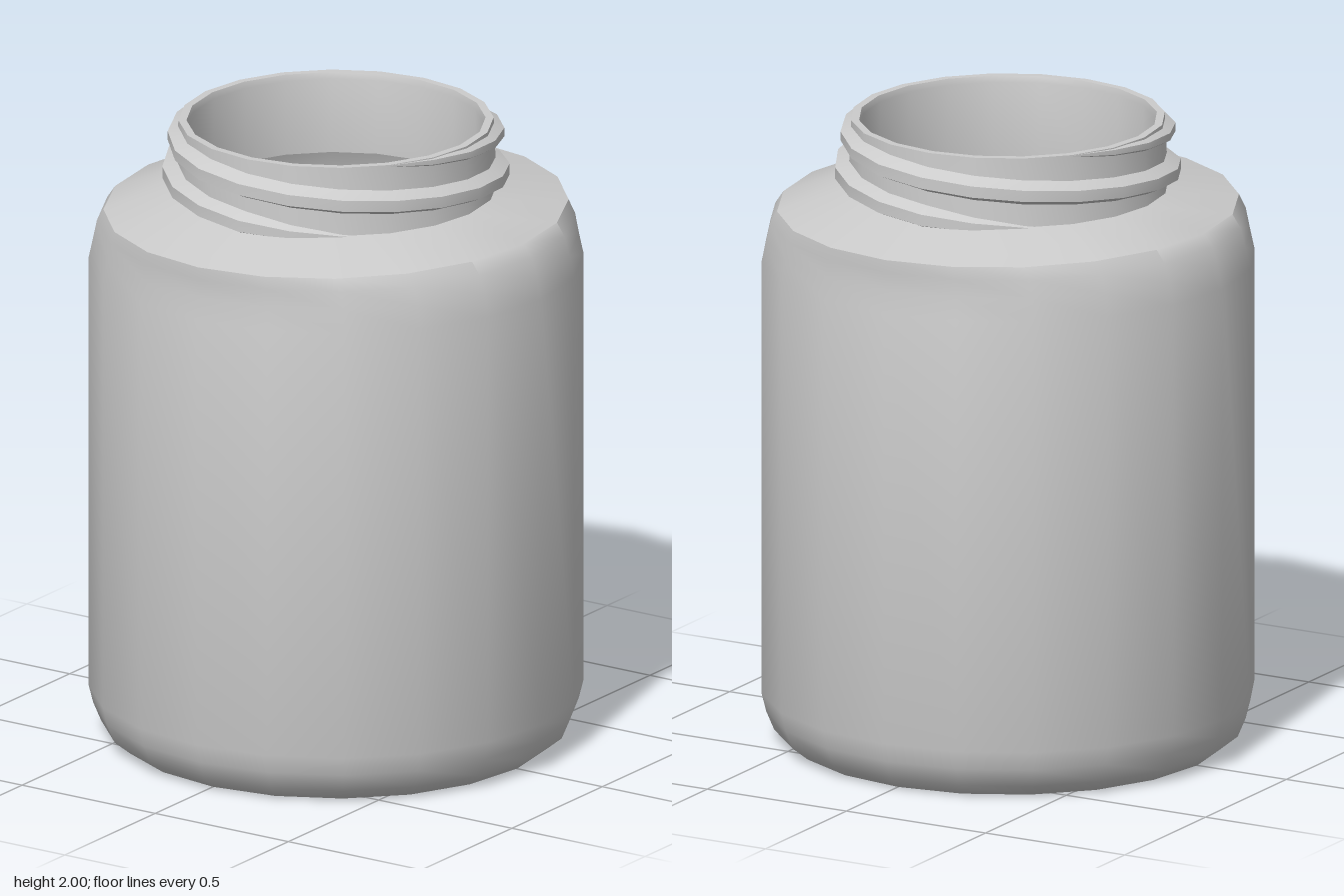
import * as THREE from 'three';
import { mergeVertices, toCreasedNormals } from 'three/addons/utils/BufferGeometryUtils.js';

const SIDES = 20;
const material = new THREE.MeshStandardMaterial({ color: 0xcccccc, side: THREE.DoubleSide });

// Jar wall: one turned profile, up the outside and down the inside
function jarGeometry() {
  const profile = [
    [0, 0.02], [0.25, 0.015], [0.62, 0], [0.68, 0], [0.73, 0.04], [0.755, 0.1], [0.77, 0.16],
    [0.77, 1.55], [0.755, 1.62], [0.735, 1.68], [0.705, 1.72],
    [0.5, 1.78], [0.49, 2], [0.465, 2],
    [0.46, 1.98], [0.46, 1.74], [0.66, 1.68], [0.72, 1.55],
    [0.72, 0.18], [0.66, 0.08], [0.5, 0.05], [0, 0.05],
  ].map(([r, y]) => new THREE.Vector2(r, y));
  const lathe = new THREE.LatheGeometry(profile, SIDES);

  // The outer shoulder is slightly oval: wider from front to back
  const pos = lathe.attributes.position;
  for (let i = 0; i < pos.count; i++) {
    const y = pos.getY(i);
    const r = Math.hypot(pos.getX(i), pos.getZ(i));
    if (r > 0.7 && y > 1.65) pos.setZ(i, pos.getZ(i) * 0.76 / r);
  }
  lathe.deleteAttribute('uv');
  lathe.deleteAttribute('normal');
  return toCreasedNormals(mergeVertices(lathe), 0.7);
}

// One screw thread: a trapezoid section wound down the neck, tapering at both ends
function threadGeometry() {
  const first = -2, last = 18;
  const positions = [], index = [];
  for (let k = first; k <= last; k++) {
    const a = -Math.PI / 2 + (k * 2 * Math.PI) / SIDES;
    const y = 1.975 - 0.012 * k;
    const size = Math.min(1, (k - first) / 6, (last - k) / 3);
    const tip = 0.49 + 0.05 * size;
    const half = 0.015 + 0.03 * size;
    const section = [[0.48, y - half], [tip, y - half * 0.4], [tip, y + half * 0.4], [0.48, y + half]];
    for (const [r, h] of section) {
      positions.push(r * Math.sin(a), Math.min(h, 1.998), r * Math.cos(a));
    }
    if (k === last) break;
    const b = (k - first) * 4;
    for (let j = 0; j < 3; j++) {
      index.push(b + j, b + 4 + j, b + 5 + j, b + j, b + 5 + j, b + 1 + j);
    }
  }
  const g = new THREE.BufferGeometry();
  g.setAttribute('position', new THREE.Float32BufferAttribute(positions, 3));
  g.setIndex(index);
  return toCreasedNormals(g, 0.6);
}

export function createModel() {
  const model = new THREE.Group();
  model.name = 'jar';

  const body = new THREE.Mesh(jarGeometry(), material);
  body.name = 'jarBody';
  model.add(body);

  // Two interleaved threads, half a turn apart
  const thread = threadGeometry();
  for (let i = 0; i < 2; i++) {
    const mesh = new THREE.Mesh(thread, material);
    mesh.name = 'neckThread' + (i + 1);
    mesh.rotation.y = i * Math.PI;
    model.add(mesh);
  }
  return model;
}
